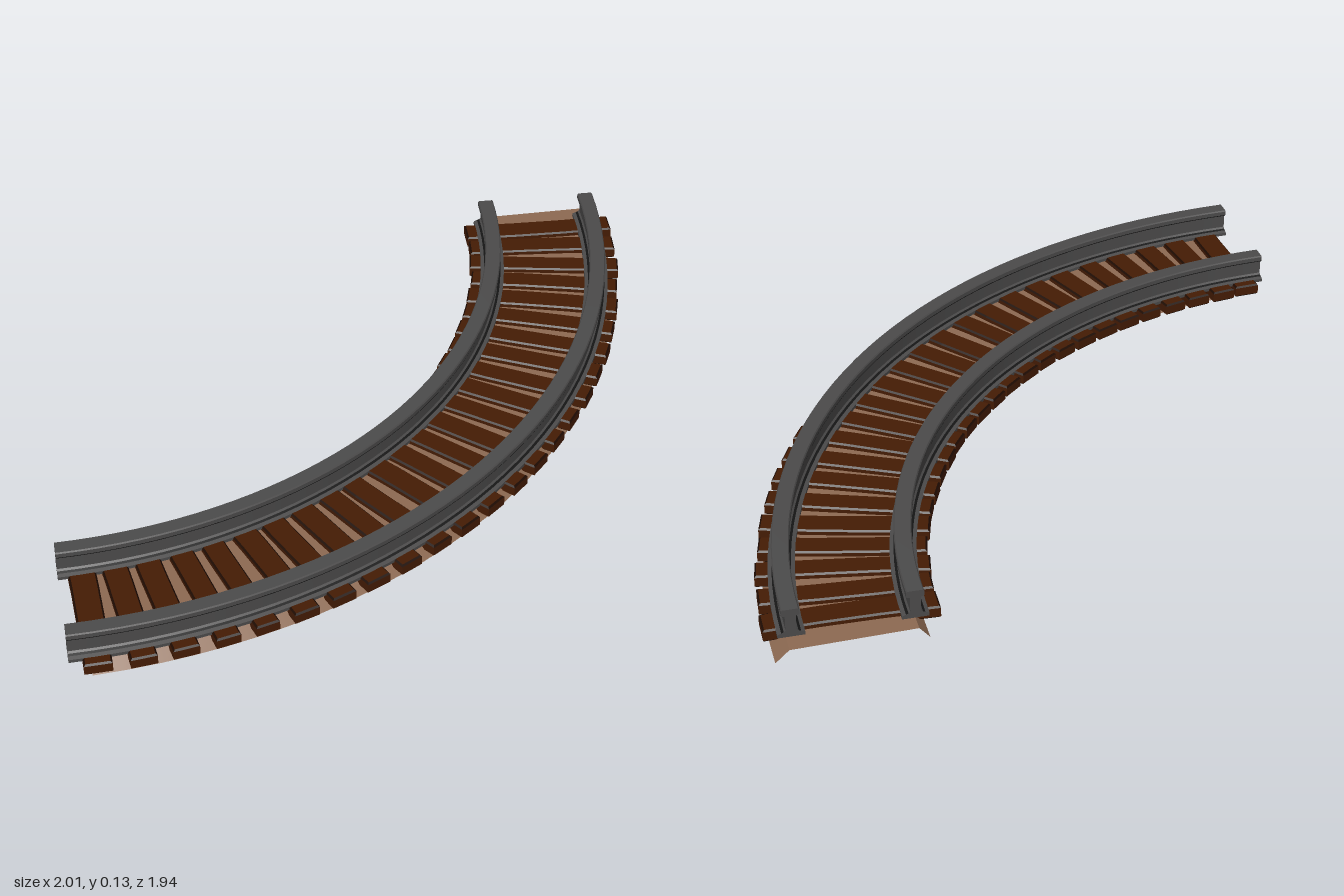
import * as THREE from 'three';

const CX = -0.98, CZ = -1.02; // centre of the curve
const mat = (name, color, side = THREE.FrontSide) => {
  const m = new THREE.MeshStandardMaterial({ color, side });
  m.name = name;
  return m;
};

// point on the curve: angle a runs from the left end to the back end
const onArc = (r, y, a) => [CX + r * Math.sin(a), y, CZ + r * Math.cos(a)];

// sweeps a profile of [radial offset, y, material index of the next edge] along the arc
function sweep(profile, closed, r, a0, a1, steps) {
  const pos = [], nor = [], geo = new THREE.BufferGeometry();
  const edges = closed ? profile.length : profile.length - 1;
  for (let i = 0; i < edges; i++) {
    const p = profile[i], q = profile[(i + 1) % profile.length];
    const du = q[0] - p[0], dy = q[1] - p[1], len = Math.hypot(du, dy);
    geo.addGroup(pos.length / 3, steps * 6, p[2] || 0);
    for (let s = 0; s < steps; s++) {
      const a = a0 + (a1 - a0) * s / steps, b = a0 + (a1 - a0) * (s + 1) / steps;
      for (const [v, t] of [[p, a], [p, b], [q, b], [p, a], [q, b], [q, a]]) {
        pos.push(...onArc(r + v[0], v[1], t));
        nor.push(dy / len * Math.sin(t), -du / len, dy / len * Math.cos(t));
      }
    }
  }
  geo.setAttribute('position', new THREE.Float32BufferAttribute(pos, 3));
  geo.setAttribute('normal', new THREE.Float32BufferAttribute(nor, 3));
  return geo;
}

// wooden plank with a slight bend and narrow dark chamfers around its top and bottom
function tieGeometry(length, width, bend) {
  const L = length / 2, W = width / 2;
  const ring = (inset, y) => {
    const l = L - inset, w = W - inset;
    return [[l, w], [l, -w], [l / 3, -w + bend], [-l / 3, -w + bend],
      [-l, -w], [-l, w], [-l / 3, w + bend], [l / 3, w + bend]].map(([x, z]) => [x, y, z]);
  };
  const rings = [ring(0.005, 0.014), ring(0, 0.019), ring(0, 0.047), ring(0.005, 0.052)];
  const pos = [], geo = new THREE.BufferGeometry();
  const n = 8;
  for (let k = 0; k < 3; k++) {
    geo.addGroup(pos.length / 3, n * 6, k === 1 ? 0 : 1);
    for (let i = 0; i < n; i++) {
      const j = (i + 1) % n, lo = rings[k], hi = rings[k + 1];
      pos.push(...lo[i], ...lo[j], ...hi[j], ...lo[i], ...hi[j], ...hi[i]);
    }
  }
  geo.addGroup(pos.length / 3, n * 6, 0);
  const top = rings[3], bottom = rings[0];
  for (let i = 0; i < n; i++) {
    const j = (i + 1) % n;
    pos.push(0, 0.052, bend, ...top[i], ...top[j]);
    pos.push(0, 0.014, bend, ...bottom[j], ...bottom[i]);
  }
  geo.setAttribute('position', new THREE.Float32BufferAttribute(pos, 3));
  geo.computeVertexNormals();
  return geo;
}

export function createModel() {
  const group = new THREE.Group();
  const steel = mat('steel', 0x4c4b4b);
  const groove = mat('dark groove', 0x161616);
  const wood = mat('dark wood', 0x451c04);
  const woodEdge = mat('wood edge', 0x1e0b02);
  const gravel = mat('gravel', 0x8d6a52, THREE.DoubleSide);

  const add = (name, geo, material) => {
    const mesh = new THREE.Mesh(geo, material);
    mesh.name = name;
    group.add(mesh);
    return mesh;
  };

  // gravel bed with sloping shoulders, open underneath
  const bed = [[0.21, 0], [0.17, 0.036], [-0.185, 0.036], [-0.215, 0]];
  add('gravelBed', sweep(bed, false, 1.76, 0.02, 1.545, 32), [gravel]);

  // I-shaped rails, thin dark grooves where the web meets head and foot
  const half = [[0.038, 0.042, 0], [0.038, 0.052, 0], [0.027, 0.056, 1], [0.02, 0.059, 0],
    [0.015, 0.064, 0], [0.015, 0.109, 1], [0.024, 0.111, 1], [0.025, 0.114, 0],
    [0.025, 0.127, 0], [0.022, 0.131, 0]];
  const other = half.map(([u, y], i) => [-u, y, i > 0 ? half[i - 1][2] : 0]).reverse();
  const profile = [...half, ...other];
  const capShape = new THREE.Shape(profile.map(([u, y]) => new THREE.Vector2(u, y)));
  const a0 = -0.011, a1 = 1.519;
  for (const [name, r] of [['innerRail', 1.575], ['outerRail', 1.915]]) {
    add(name, sweep(profile, true, r, a0, a1, 40), [steel, groove]);
    for (const [a, turn] of [[a0, -1], [a1, 1]]) {
      const cap = add(name + 'End', new THREE.ShapeGeometry(capShape), steel);
      cap.position.set(...onArc(r, 0, a));
      cap.rotation.y = a + turn * Math.PI / 2;
    }
  }

  // wooden ties, each a little uneven
  let seed = 7;
  const rand = () => (seed = (seed * 16807) % 2147483647) / 2147483647 - 0.5;
  const count = 25;
  for (let i = 0; i < count; i++) {
    const a = 0.03 + (1.483 - 0.03) * i / (count - 1);
    const geo = tieGeometry(0.482 + rand() * 0.014, 0.075 + rand() * 0.01, rand() * 0.012);
    const tie = add('tie', geo, [wood, woodEdge]);
    tie.position.set(...onArc(1.745, 0, a));
    tie.rotation.y = a - Math.PI / 2 + rand() * 0.04;
  }
  return group;
}
